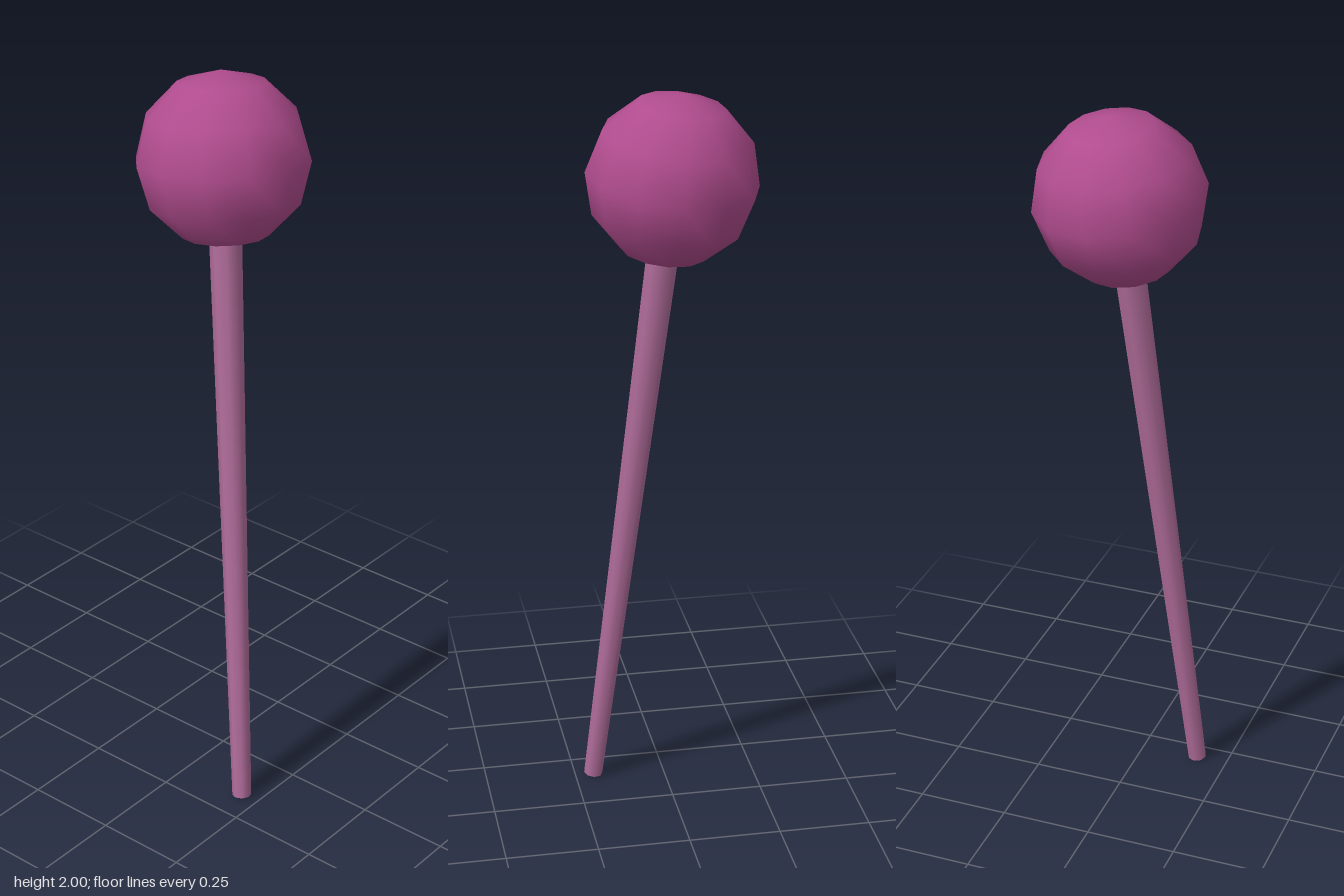
import * as THREE from 'three';

export function createModel() {
  const model = new THREE.Group();
  model.name = 'pin';

  const base = new THREE.Vector3(-0.162, 0.004, 0.199);
  const centre = new THREE.Vector3(0, 1.777, 0);
  const axis = centre.clone().sub(base);
  const length = axis.length();

  // Both parts share one leaning axis running from the tip to the ball centre.
  const pin = new THREE.Group();
  pin.name = 'leaningPin';
  pin.position.copy(base);
  pin.quaternion.setFromUnitVectors(new THREE.Vector3(0, 1, 0), axis.normalize());
  model.add(pin);

  const add = (name, geometry, color, y) => {
    const mesh = new THREE.Mesh(geometry, new THREE.MeshStandardMaterial({ color }));
    mesh.name = name;
    mesh.position.y = y;
    mesh.rotation.y = -0.055;
    pin.add(mesh);
  };

  // Low-poly ball with smooth shading
  add('ballHead', new THREE.SphereGeometry(0.225, 12, 6), 0xb04c8e, length);

  // Stem tapering down to its tip, its top buried in the ball
  const stemLength = length - 0.1;
  add('stem', new THREE.CylinderGeometry(0.043, 0.026, stemLength, 8), 0xb06c9a, stemLength / 2);

  return model;
}
